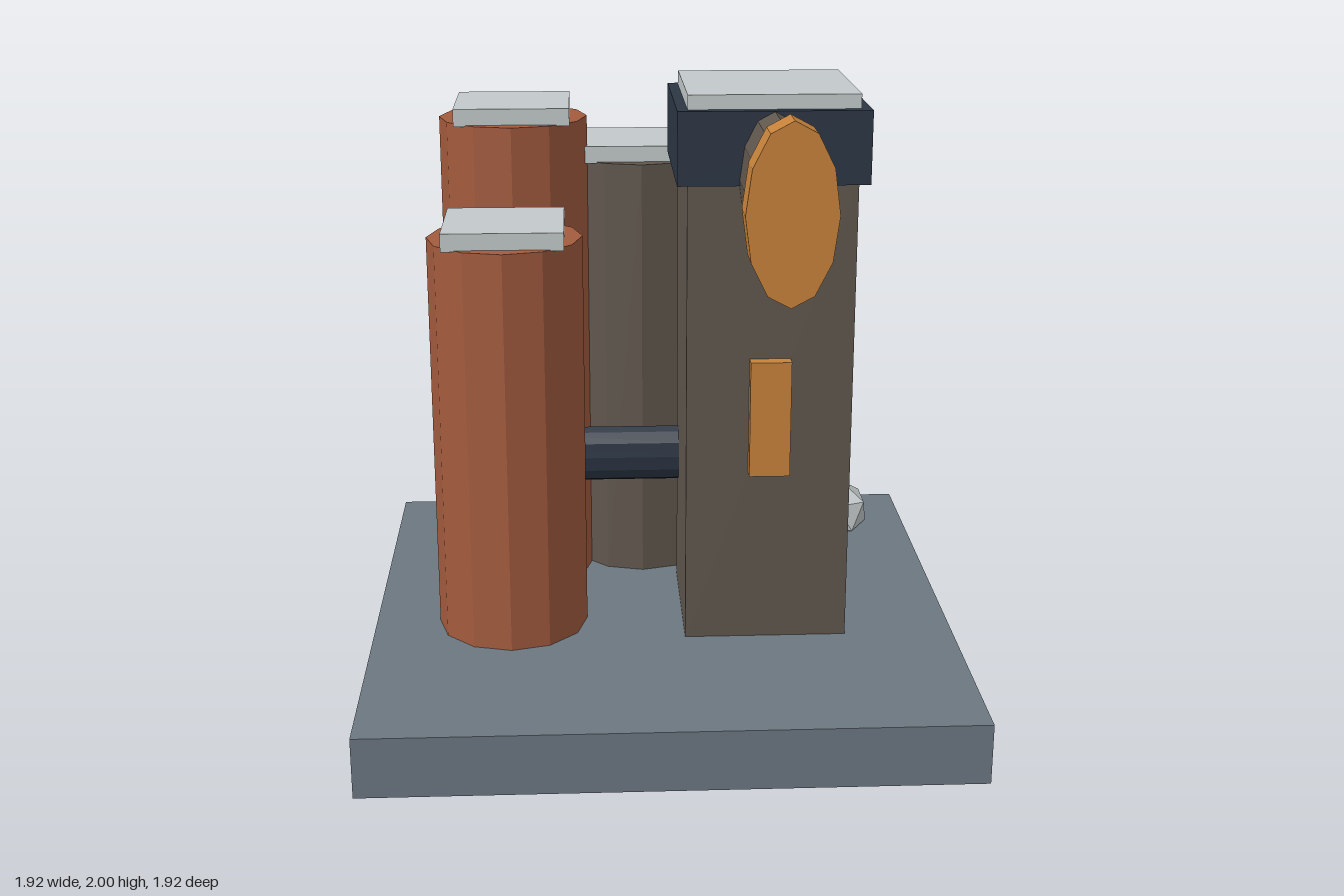
import * as THREE from 'three';

export function createModel() {
  const model = new THREE.Group();
  model.name = 'industrialTowers';

  const material = (name, color) => {
    const m = new THREE.MeshStandardMaterial({ color, flatShading: true });
    m.name = name;
    return m;
  };
  const slate = material('slate', 0x6b7780);
  const brown = material('brown', 0x60574d);
  const rust = material('rust', 0xa35b3e);
  const navy = material('navy', 0x2c3644);
  const amber = material('amber', 0xc7823a);
  const pale = material('paleGrey', 0xc3c9ca);

  const add = (name, geometry, mat, x, y, z) => {
    const mesh = new THREE.Mesh(geometry, mat);
    mesh.name = name;
    mesh.position.set(x, y, z);
    model.add(mesh);
    return mesh;
  };
  // Box given by its limits on each axis
  const box = (name, mat, [x0, x1], [y0, y1], [z0, z1]) =>
    add(name, new THREE.BoxGeometry(x1 - x0, y1 - y0, z1 - z0), mat,
      (x0 + x1) / 2, (y0 + y1) / 2, (z0 + z1) / 2);

  // Base slab
  box('base', slate, [-0.96, 0.96], [0, 0.197], [-0.96, 0.96]);

  // Square tower with collar, roof slab and raised front plate
  box('tower', brown, [0.07, 0.6], [0.19, 1.73], [-0.22, 0.31]);
  box('towerCollar', navy, [0.037, 0.632], [1.716, 1.945], [-0.252, 0.343]);
  box('towerCap', pale, [0.07, 0.6], [1.94, 1.99], [-0.22, 0.31]);
  box('frontPlate', amber, [0.27, 0.4], [0.775, 1.155], [0.3, 0.355]);

  // Twelve-sided columns, each with a square cap
  const columns = [
    ['frontColumn', rust, -0.5, 0.14, 1.52],
    ['middleColumn', rust, -0.48, -0.34, 1.825],
    ['backColumn', brown, -0.05, -0.5, 1.67],
  ];
  for (const [name, mat, x, z, top] of columns) {
    add(name, new THREE.CylinderGeometry(0.248, 0.248, top - 0.19, 12), mat, x, (top + 0.19) / 2, z);
    box(name + 'Cap', pale, [x - 0.19, x + 0.19], [top - 0.004, top + 0.053], [z - 0.19, z + 0.19]);
  }

  // Flattened pipe joining the middle column to the tower
  const pipe = new THREE.CylinderGeometry(0.097, 0.097, 0.57, 12).rotateZ(Math.PI / 2).scale(1, 1, 0.53);
  add('connectingPipe', pipe, navy, -0.185, 0.682, -0.148);

  // Narrow oval barrel with a wider rim, projecting to the front
  const oval = (radius, length) =>
    new THREE.CylinderGeometry(radius, radius, length, 12).rotateX(Math.PI / 2).scale(0.5, 1, 1);
  add('barrel', oval(0.21, 0.47), brown, 0.333, 1.733, 0.515);
  add('barrelRim', oval(0.267, 0.115), amber, 0.333, 1.733, 0.793);

  // Faceted rock, one corner up, sunk a little into the base
  const rock = new THREE.IcosahedronGeometry(1, 0)
    .rotateZ(Math.atan(2 / (1 + Math.sqrt(5))))
    .scale(0.108, 0.11, 0.135);
  add('rock', rock, pale, 0.722, 0.255, -0.675);

  return model;
}
